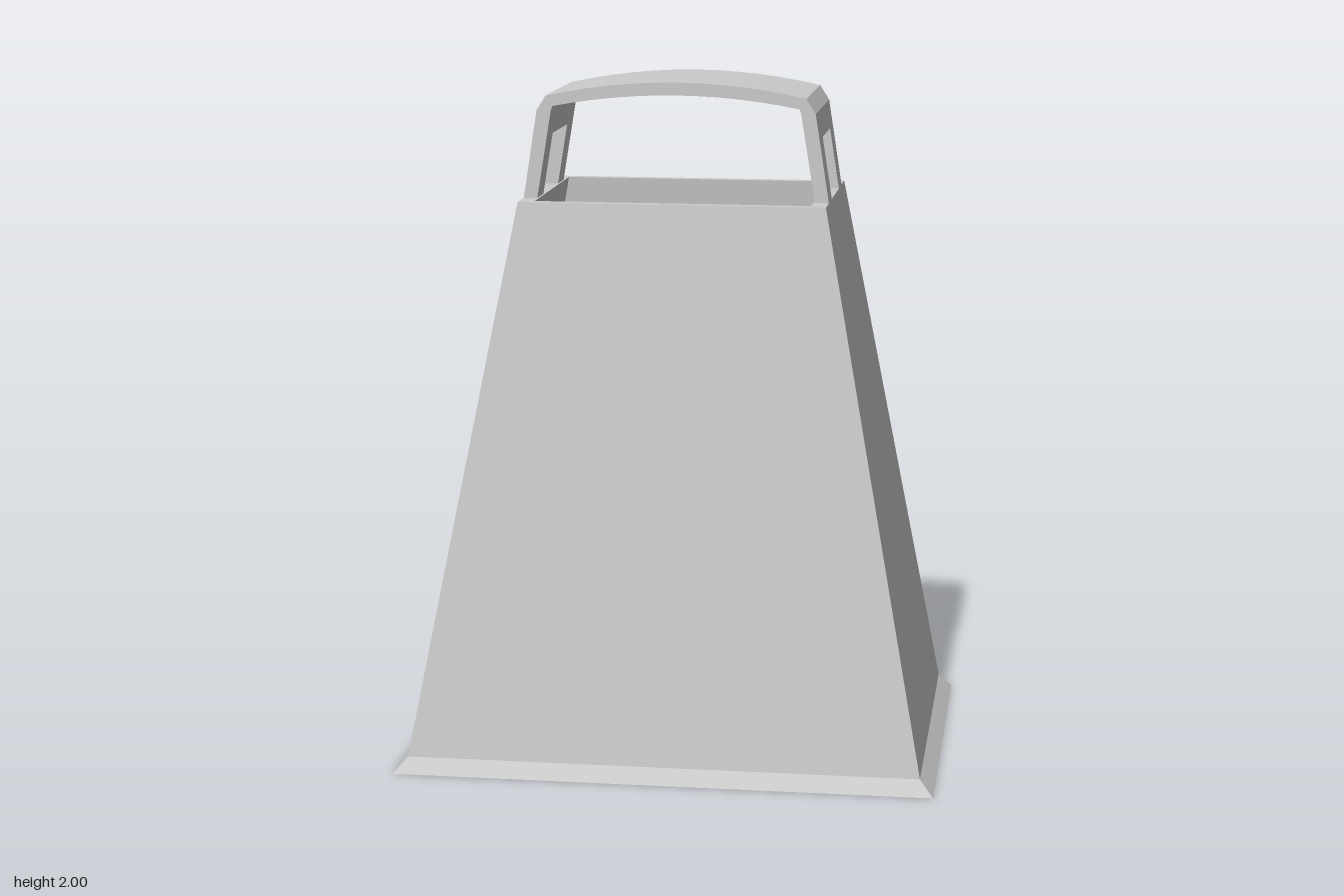
import * as THREE from 'three';
import { toCreasedNormals } from 'three/addons/utils/BufferGeometryUtils.js';

const grey = new THREE.MeshStandardMaterial({ color: 0xcccccc });

// Hollow rectangular shell: joins rectangular rings [halfX, halfZ, y] in order
function ringShell(rings) {
  const corners = [[1, 1], [1, -1], [-1, -1], [-1, 1]];
  const point = ([hx, hz, y], c) => [corners[c % 4][0] * hx, y, corners[c % 4][1] * hz];
  const pos = [];
  for (let i = 0; i < rings.length - 1; i++) {
    for (let c = 0; c < 4; c++) {
      const a = point(rings[i], c), b = point(rings[i], c + 1);
      const d = point(rings[i + 1], c), e = point(rings[i + 1], c + 1);
      pos.push(...a, ...b, ...e, ...a, ...e, ...d);
    }
  }
  const geo = new THREE.BufferGeometry();
  geo.setAttribute('position', new THREE.Float32BufferAttribute(pos, 3));
  geo.computeVertexNormals();
  return geo;
}

// Extrudes an x-y outline between two z values
function slab(points, z0, z1) {
  const shape = new THREE.Shape(points.map(([x, y]) => new THREE.Vector2(x, y)));
  const geo = new THREE.ExtrudeGeometry(shape, { depth: z1 - z0, bevelEnabled: false });
  return toCreasedNormals(geo.translate(0, 0, z0), 0.3);
}

export function createModel() {
  const group = new THREE.Group();
  const add = (name, geo) => {
    const mesh = new THREE.Mesh(geo, grey);
    mesh.name = name;
    group.add(mesh);
  };

  // Tapered body, open at both ends, with a flared lip
  add('body', ringShell([
    [0.79, 0.55, 0], [0.75, 0.52, 0.045], [0.445, 0.31, 1.66],
    [0.4, 0.28, 1.66], [0.71, 0.49, 0.045], [0.79, 0.55, 0],
  ]));

  // Sloping faces of the handle legs
  const outerX = (y) => 0.445 - (y - 1.66) * 0.157;
  const innerX = (y) => 0.405 - (y - 1.66) * 0.165;
  const base = 1.66, windowTop = 1.84, halfWidth = 0.215, windowHalf = 0.12;

  // Handle: shallow arch that bends down at its ends
  const arc = (halfX, top, drop) => Array.from({ length: 13 }, (_, i) => {
    const t = 1 - i / 6;
    return [halfX * t, top - drop * t * t];
  });
  add('handle', slab([
    [outerX(windowTop), windowTop], [outerX(1.915), 1.915],
    ...arc(0.378, 2, 0.042),
    [-outerX(1.915), 1.915], [-outerX(windowTop), windowTop],
    [-innerX(windowTop), windowTop], [-innerX(1.915), 1.915],
    ...arc(0.358, 1.963, 0.035).reverse(),
    [innerX(1.915), 1.915], [innerX(windowTop), windowTop],
  ], -halfWidth, halfWidth));

  // Two posts on each side, leaving a window between them
  for (const s of [1, -1]) {
    const outline = [
      [s * innerX(base), base], [s * outerX(base), base],
      [s * outerX(windowTop), windowTop], [s * innerX(windowTop), windowTop],
    ];
    const side = s > 0 ? 'left' : 'right';
    add(side + 'FrontPost', slab(outline, windowHalf, halfWidth));
    add(side + 'BackPost', slab(outline, -halfWidth, -windowHalf));
  }
  return group;
}
